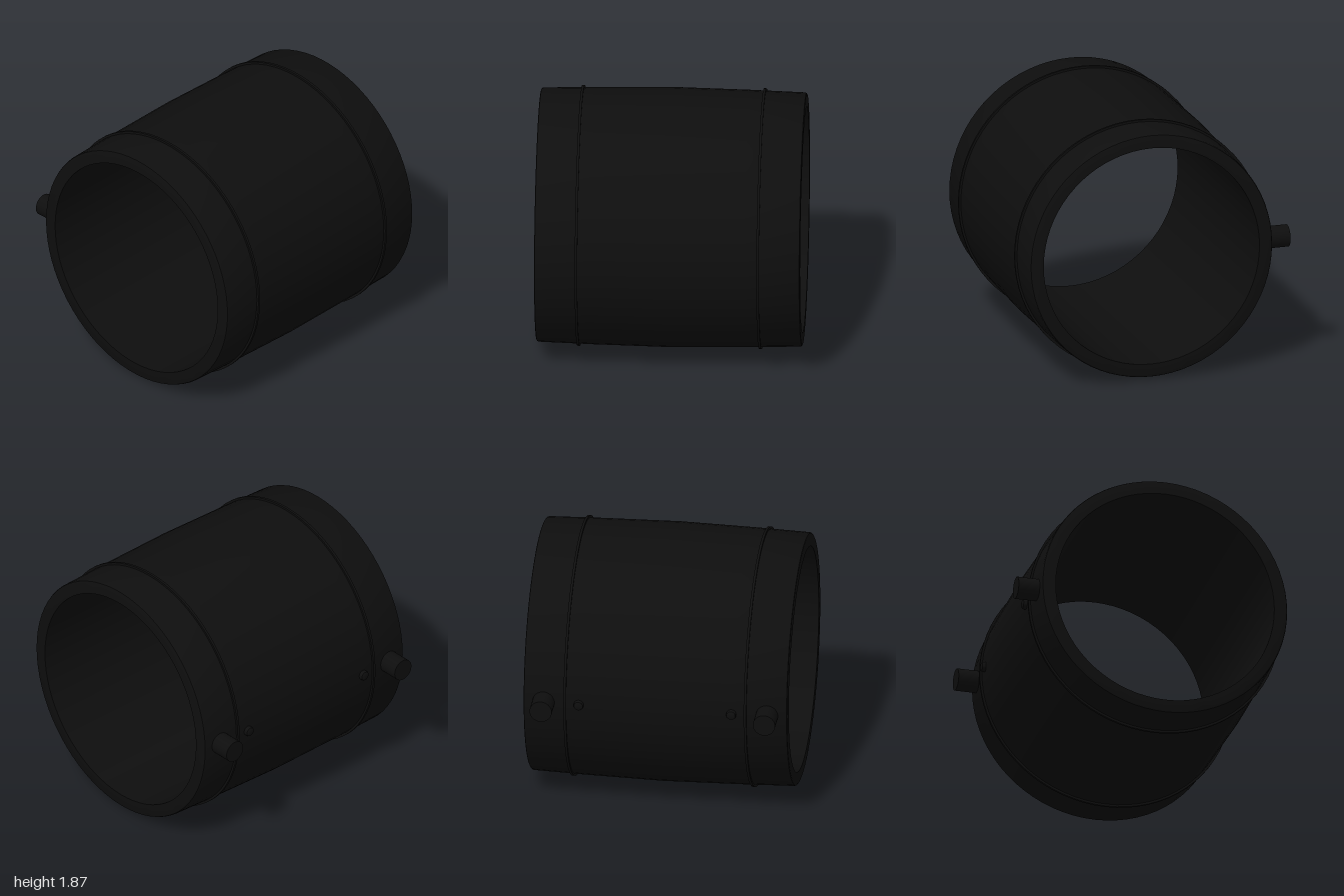
import * as THREE from 'three';
import { toCreasedNormals } from 'three/addons/utils/BufferGeometryUtils.js';

const AXIS_Y = 0.935, AXIS_Z = 0.065;

export function createModel() {
  const group = new THREE.Group();
  const black = new THREE.MeshStandardMaterial({ color: 0x0e0e0e });
  black.name = 'matte black';

  // Turns a profile of [radius, position] pairs into a crease-aware solid
  const turn = (profile, segments) => toCreasedNormals(
    new THREE.LatheGeometry(profile.map(([r, p]) => new THREE.Vector2(r, p)), segments), 0.6);

  const add = (name, geometry, x, y, z) => {
    const mesh = new THREE.Mesh(geometry, black);
    mesh.name = name;
    mesh.position.set(x, y, z);
    group.add(mesh);
    return mesh;
  };

  // Hollow sleeve, slightly swollen in the middle, with rounded outer rims
  const sleeve = turn([
    [0.81, -0.95], [0.895, -0.95], [0.904, -0.946], [0.909, -0.935],
    [0.92, -0.55], [0.93, 0], [0.92, 0.55],
    [0.909, 0.935], [0.904, 0.946], [0.895, 0.95], [0.81, 0.95], [0.81, -0.95],
  ], 72).rotateZ(-Math.PI / 2);
  add('sleeve', sleeve, 0, AXIS_Y, AXIS_Z);

  // Narrow raised band near each end
  const band = turn([
    [0.9, -0.009], [0.933, -0.009], [0.933, 0.009], [0.9, 0.009],
  ], 72).rotateZ(-Math.PI / 2);

  // Mounting peg and small rounded stud, both pointing backwards
  const peg = new THREE.CylinderGeometry(0.08, 0.08, 0.18, 32).rotateX(-Math.PI / 2);
  const stud = turn([
    [0.036, 0], [0.036, 0.045], [0.032, 0.055], [0.022, 0.06], [0, 0.06],
  ], 24).rotateX(-Math.PI / 2);

  for (const [side, s] of [['left', 1], ['right', -1]]) {
    add(side + 'Band', band, s * 0.65, AXIS_Y, AXIS_Z);
    add(side + 'Peg', peg, s * 0.805, 0.94, -0.91);
    add(side + 'Stud', stud, s * 0.55, 0.94, -0.825);
  }
  return group;
}
